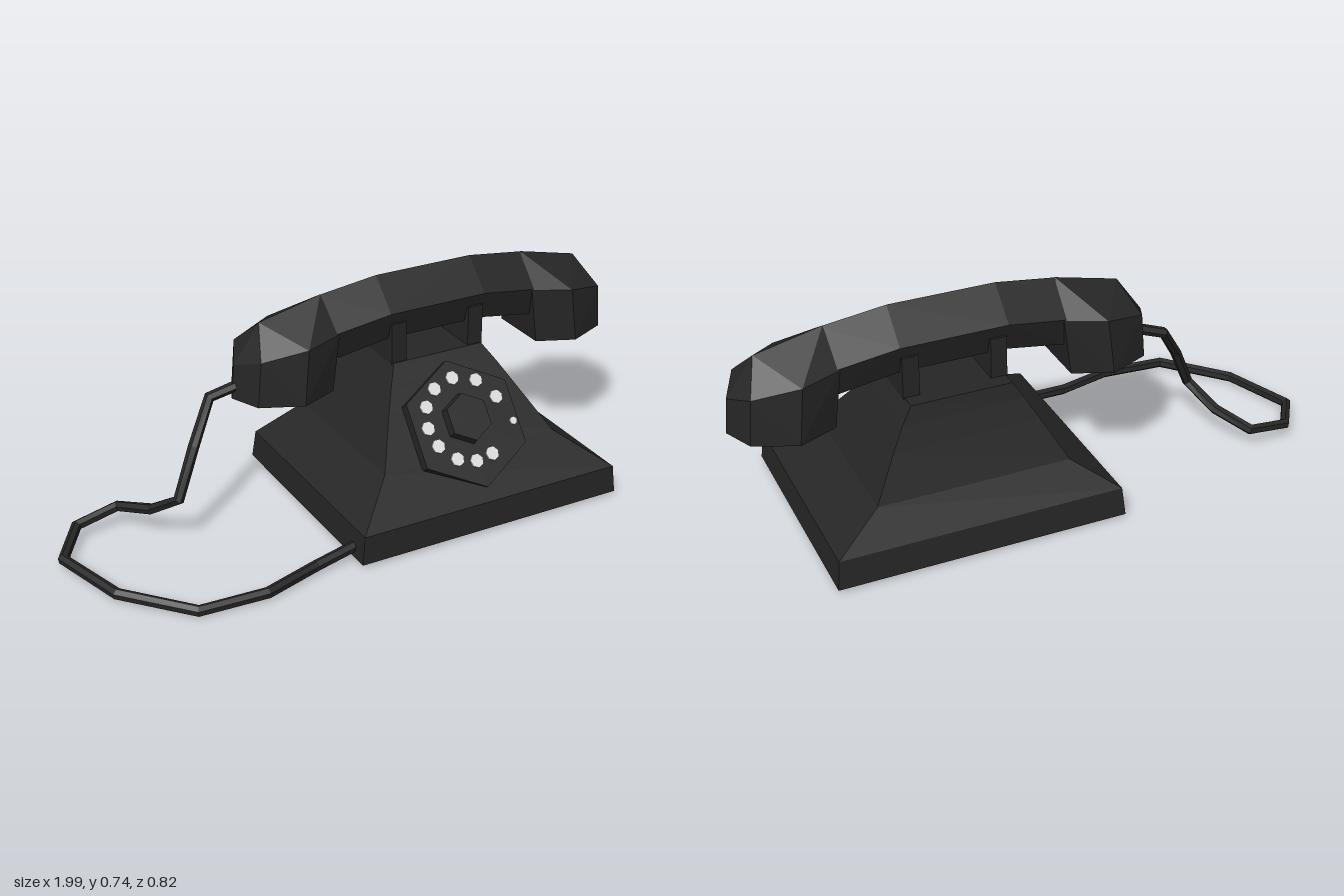
import * as THREE from 'three';
import { ConvexGeometry } from 'three/addons/geometries/ConvexGeometry.js';

const CX = 0.305; // phone centre in x
const CZ = -0.085; // handset centre in z

export function createModel() {
  const black = new THREE.MeshStandardMaterial({ color: 0x262626 });
  black.name = 'black';
  black.flatShading = true;
  const white = new THREE.MeshStandardMaterial({ color: 0xdcdcdc });
  white.name = 'white';
  white.flatShading = true;

  const model = new THREE.Group();
  model.name = 'telephone';

  const add = (parent, name, geometry, material = black) => {
    const mesh = new THREE.Mesh(geometry, material);
    mesh.name = name;
    parent.add(mesh);
    return mesh;
  };
  const hull = (points) => new ConvexGeometry(points.map((p) => new THREE.Vector3(...p)));

  // Body: stacked rectangular levels [y, half width, front z, back z]
  const body = new THREE.Group();
  body.name = 'body';
  model.add(body);
  const levels = [
    [0.01, 0.477, 0.385, -0.41],
    [0.105, 0.467, 0.38, -0.4],
    [0.213, 0.317, 0.235, -0.33],
    [0.35, 0.24, 0.122, -0.275],
    [0.42, 0.2, 0.066, -0.25],
    [0.475, 0.165, 0.02, -0.235],
  ];
  const rect = ([y, w, f, b]) => [[CX - w, y, f], [CX + w, y, f], [CX + w, y, b], [CX - w, y, b]];
  for (let i = 0; i < levels.length - 1; i++) {
    add(body, i === 0 ? 'base' : 'bodyTier', hull([...rect(levels[i]), ...rect(levels[i + 1])]));
  }

  // Cradle posts
  for (const s of [-1, 1]) {
    add(model, 'cradlePost', new THREE.BoxGeometry(0.054, 0.14, 0.2))
      .position.set(CX + s * 0.143, 0.54, CZ);
  }

  // Handset: handle cross-sections with a ridge on top
  const handset = new THREE.Group();
  handset.name = 'handset';
  handset.position.set(CX, 0, CZ);
  model.add(handset);
  const section = (x, ridge, side, bottom) => [
    [x, ridge, 0], [x, side, 0.103], [x, side, -0.103], [x, bottom, 0.075], [x, bottom, -0.075],
  ];
  add(handset, 'handleMiddle', hull([...section(-0.175, 0.745, 0.648, 0.552), ...section(0.175, 0.745, 0.648, 0.552)]));
  for (const s of [-1, 1]) {
    add(handset, 'handleArm', hull([
      ...section(s * 0.175, 0.745, 0.648, 0.552), ...section(s * 0.385, 0.718, 0.62, 0.52),
    ]));
    // Earpiece and mouthpiece
    const cup = [[s * 0.69, 0.43, 0], [s * 0.68, 0.545, 0], [s * 0.59, 0.67, 0], [s * 0.375, 0.72, 0]];
    for (const z of [-1, 1]) {
      cup.push(
        [s * 0.645, 0.43, z * 0.1], [s * 0.51, 0.43, z * 0.158], [s * 0.385, 0.43, z * 0.105],
        [s * 0.632, 0.58, z * 0.1], [s * 0.49, 0.612, z * 0.148], [s * 0.36, 0.62, z * 0.103],
      );
    }
    add(handset, s > 0 ? 'leftCup' : 'rightCup', hull(cup));
  }

  // Dial, tilted to lie on the sloping front
  const dial = new THREE.Group();
  dial.name = 'dial';
  dial.position.set(CX, 0.303, 0.2075);
  dial.rotation.x = 0.876;
  model.add(dial);
  add(dial, 'dialPlate', new THREE.CylinderGeometry(0.215, 0.215, 0.05, 6)).position.y = -0.025;
  add(dial, 'dialHub', new THREE.CylinderGeometry(0.08, 0.085, 0.032, 6)).position.set(0, 0.014, -0.015);
  const spot = (name, radius, x, z) => {
    add(dial, name, new THREE.CylinderGeometry(radius, radius, 0.006, 7), white).position.set(x, 0.002, z);
  };
  for (const deg of [19, 55, 90, 122, 151, 180, 207, 238, 266, 292]) {
    const a = THREE.MathUtils.degToRad(deg);
    spot('fingerHole', 0.024, Math.cos(a) * 0.14, -Math.sin(a) * 0.14 - 0.015);
  }
  spot('fingerStop', 0.014, 0.165, 0.03);

  // Cord from the handset down to the ground and round to the base
  const path = new THREE.CatmullRomCurve3([
    [-0.34, 0.48, -0.08], [-0.455, 0.445, -0.1], [-0.54, 0.32, -0.04], [-0.615, 0.17, 0],
    [-0.67, 0.1, -0.1], [-0.74, 0.068, -0.22], [-0.885, 0.045, -0.205], [-0.98, 0.026, -0.065],
    [-0.9, 0.019, 0.18], [-0.72, 0.018, 0.378], [-0.5, 0.02, 0.392], [-0.31, 0.026, 0.338],
    [-0.13, 0.045, 0.31],
  ].map((p) => new THREE.Vector3(...p)));
  // One straight piece between each pair of points
  path.getPointAt = path.getPoint;
  path.getTangentAt = path.getTangent;
  add(model, 'cord', new THREE.TubeGeometry(path, path.points.length - 1, 0.018, 6));

  return model;
}
